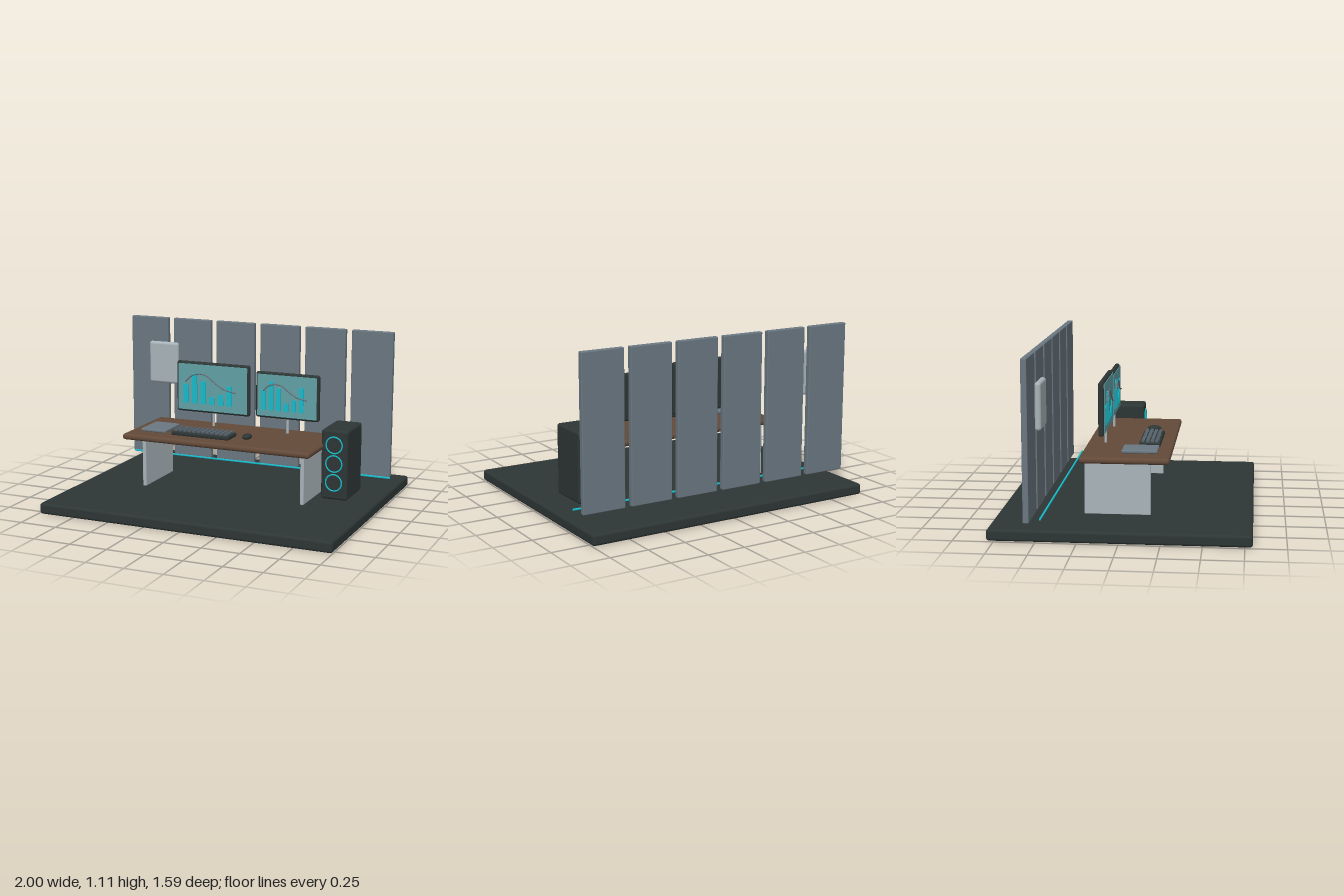
import * as THREE from 'three';
import { RoundedBoxGeometry } from 'three/addons/geometries/RoundedBoxGeometry.js';

const material = (name, color) => {
  const m = new THREE.MeshStandardMaterial({ color });
  m.name = name;
  return m;
};

export function createModel() {
  const charcoal = material('charcoal', 0x2d3635);
  const slate = material('slate', 0x6a7781);
  const wood = material('wood', 0x634a39);
  const metal = material('pale metal', 0xa9b4ba);
  const cyan = material('cyan glow', 0x18bccb);
  const glass = material('screen teal', 0x62a2a6);
  const keyGrey = material('key grey', 0x56616a);

  const model = new THREE.Group();
  model.name = 'deskSetup';

  const add = (parent, name, geometry, mat, x = 0, y = 0, z = 0) => {
    const mesh = new THREE.Mesh(geometry, mat);
    mesh.name = name;
    mesh.position.set(x, y, z);
    parent.add(mesh);
    return mesh;
  };
  // Rounded block given by its extents on each axis
  const block = (parent, name, mat, [x0, x1], [y0, y1], [z0, z1], radius) =>
    add(parent, name, new RoundedBoxGeometry(x1 - x0, y1 - y0, z1 - z0, 3, radius), mat,
      (x0 + x1) / 2, (y0 + y1) / 2, (z0 + z1) / 2);
  const group = (name) => {
    const g = new THREE.Group();
    g.name = name;
    model.add(g);
    return g;
  };

  // Floor slab
  block(model, 'floor', charcoal, [-0.99, 1], [0, 0.073], [-0.797, 0.797], 0.018);

  // Back wall of upright boards
  const wall = group('wallBoards');
  for (let i = 0; i < 6; i++) {
    const x = -1 + i * 0.331;
    block(wall, 'wallBoard', slate, [x, x + 0.288], [0.117, 1.108], [-0.57, -0.533], 0.006);
  }
  block(model, 'wallPlaque', metal, [-0.837, -0.612], [0.645, 0.942], [-0.518, -0.478], 0.019);
  block(model, 'lightStrip', cyan, [-0.96, 0.965], [0.126, 0.138], [-0.479, -0.467], 0.004);

  // Desk
  const desk = group('desk');
  block(desk, 'deskTop', wood, [-0.657, 0.66], [0.41, 0.45], [-0.281, 0.281], 0.018);
  for (const x of [-0.57, 0.556])
    block(desk, 'deskLeg', metal, [x, x + 0.026], [0.07, 0.415], [-0.255, 0.16], 0.006);

  // Monitors with bar charts and a trend line
  const trend = [[-0.195, 0.036], [-0.145, 0.08], [-0.09, 0.094], [-0.04, 0.086],
    [0.02, 0.043], [0.075, 0.008], [0.125, -0.008], [0.177, -0.016]];
  const buildMonitor = (x, y, z, w, h, bars) => {
    const monitor = group('monitor');
    monitor.position.set(x, y, z);
    const s = w / 0.535;
    add(monitor, 'monitorCase', new RoundedBoxGeometry(w, h, 0.036, 3, 0.016), charcoal);
    add(monitor, 'screen', new THREE.BoxGeometry(w - 0.03, h - 0.03, 0.006), glass, 0, 0, 0.019);
    bars.forEach((height, i) => add(monitor, 'chartBar',
      new THREE.BoxGeometry(0.036 * s, height, 0.009), cyan,
      (-0.194 + i * 0.064) * s, -0.112 * (h / 0.345) + height / 2 + 0.002, 0.0255));
    const curve = new THREE.CatmullRomCurve3(
      trend.map(([px, py]) => new THREE.Vector3(px * s, py * s + 0.002, 0.034)));
    add(monitor, 'trendLine', new THREE.TubeGeometry(curve, 32, 0.005, 8), slate);
    const poleHeight = y - h / 2 - 0.445 + 0.02;
    add(monitor, 'monitorPole', new THREE.CylinderGeometry(0.009, 0.009, poleHeight, 16), metal,
      0, 0.445 + poleHeight / 2 - y, 0);
  };
  buildMonitor(-0.191, 0.712, -0.163, 0.535, 0.346, [0.128, 0.203, 0.155, 0.05, 0.072, 0.134]);
  buildMonitor(0.343, 0.7, -0.167, 0.447, 0.31, [0.134, 0.193, 0.15, 0.053, 0.08, 0.165]);

  // Computer tower with three glowing rings
  const tower = group('computerTower');
  block(tower, 'towerCase', charcoal, [0.644, 0.823], [0.085, 0.546], [-0.283, 0.014], 0.018);
  for (const y of [0.448, 0.325, 0.2])
    add(tower, 'fanRing', new THREE.TorusGeometry(0.054, 0.005, 8, 40), cyan, 0.733, y, 0.017);

  // Notebook pad on the desk
  block(model, 'notebookPad', slate, [-0.558, -0.377], [0.459, 0.48], [-0.025, 0.2], 0.008);

  // Keyboard
  const keyboard = group('keyboard');
  block(keyboard, 'keyboardBody', charcoal, [-0.335, 0.077], [0.455, 0.482], [0.065, 0.203], 0.009);
  const key = new THREE.BoxGeometry(0.024, 0.014, 0.021);
  for (let row = 0; row < 4; row++)
    for (let col = 0; col < 12; col++)
      add(keyboard, 'key', key, keyGrey, -0.307 + col * 0.0324, 0.487, 0.09 + row * 0.0295);

  // Mouse
  add(model, 'mouse', new THREE.SphereGeometry(1, 24, 16), charcoal, 0.176, 0.477, 0.125)
    .scale.set(0.029, 0.019, 0.046);

  return model;
}
